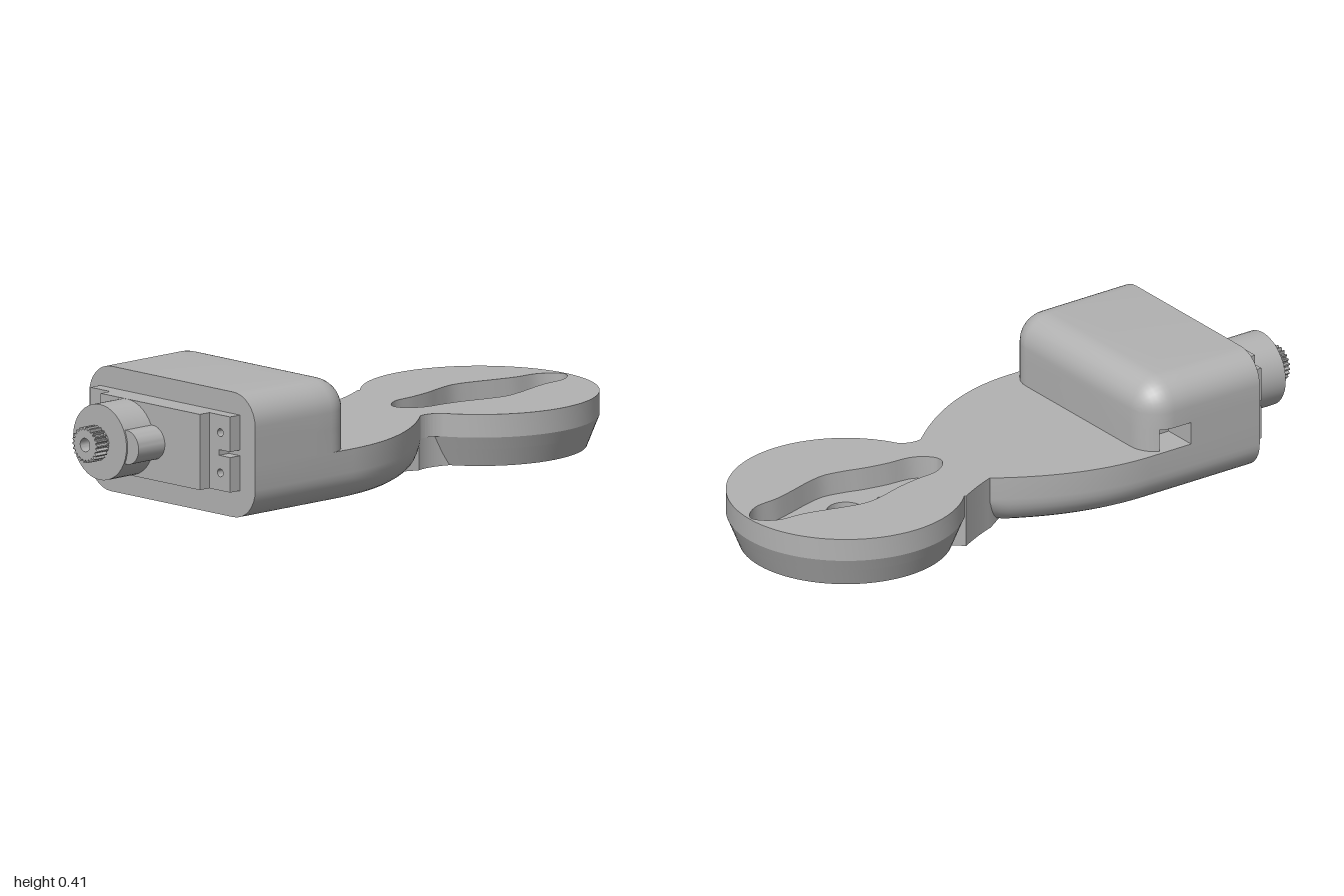
import * as THREE from 'three';
import { toCreasedNormals } from 'three/addons/utils/BufferGeometryUtils.js';

const grey = new THREE.MeshStandardMaterial({ color: 0xb2b2b2 });
grey.name = 'grey';

const CREASE = 0.5;
const DISC = { x: 0.62, r: 0.38 };
const AXIS_Y = 0.2125; // height of the motor axis

function part(name, geometry, parent) {
  const mesh = new THREE.Mesh(toCreasedNormals(geometry, CREASE), grey);
  mesh.name = name;
  parent.add(mesh);
  return mesh;
}

function circle(x, y, r, Type = THREE.Path) {
  const c = new Type();
  c.absarc(x, y, r, 0, Math.PI * 2, false);
  return c;
}

// Extrude a plan shape (x, z) between two heights
function slab(shape, y0, y1) {
  return new THREE.ExtrudeGeometry(shape, { depth: y1 - y0, bevelEnabled: false, curveSegments: 40 })
    .rotateX(Math.PI / 2).translate(0, y1, 0);
}

// Extrude an end-on shape (z, y) between two x positions
function slabX(shape, x0, x1) {
  return new THREE.ExtrudeGeometry(shape, { depth: x1 - x0, bevelEnabled: false, curveSegments: 12 })
    .rotateY(-Math.PI / 2).translate(x1, 0, 0);
}

function cylinderX(r, x0, x1, y, z) {
  return new THREE.CylinderGeometry(r, r, x1 - x0, 40).rotateZ(Math.PI / 2).translate((x0 + x1) / 2, y, z);
}

function box(x0, x1, y0, y1, z0, z1) {
  return new THREE.BoxGeometry(x1 - x0, y1 - y0, z1 - z0).translate((x0 + x1) / 2, (y0 + y1) / 2, (z0 + z1) / 2);
}

// Skin closed [y, z] sections along x, with both ends capped
function loft(sections, skip = () => false) {
  const out = [];
  const rings = sections.map(s => s.points.map(([y, z]) => [s.x, y, z]));
  const n = rings[0].length;
  for (let i = 0; i < rings.length - 1; i++) {
    for (let j = 0; j < n; j++) {
      if (skip(i, j)) continue;
      const k = (j + 1) % n;
      const a = rings[i][j], b = rings[i + 1][j], c = rings[i + 1][k], d = rings[i][k];
      out.push(...a, ...d, ...c, ...a, ...c, ...b);
    }
  }
  for (const [ring, atEnd] of [[rings[0], false], [rings[rings.length - 1], true]]) {
    const mid = [0, 1, 2].map(k => ring.reduce((sum, p) => sum + p[k], 0) / n);
    ring.forEach((p, j) => {
      const q = ring[(j + 1) % n];
      out.push(...mid, ...(atEnd ? p : q), ...(atEnd ? q : p));
    });
  }
  const g = new THREE.BufferGeometry();
  g.setAttribute('position', new THREE.Float32BufferAttribute(out, 3));
  g.computeVertexNormals();
  return g;
}

// Tapering arm with its lower edges and its end rounded
function armGeometry() {
  const r = 0.1, xs = [-0.73, -0.3];
  for (let k = 1; k <= 12; k++) xs.push(-0.3 + 0.43 * k / 12);
  for (let k = 1; k <= 8; k++) xs.push(0.13 + 0.0995 * Math.sin(k / 8 * Math.PI / 2));
  return loft(xs.map(x => {
    const t = Math.max(0, (x + 0.3) / 0.5);
    const zFront = 0.38 - 0.215 * t * t, zBack = 0.38 - 0.17 * t * t;
    const drop = Math.sqrt(r * r - Math.max(0, x - 0.13) ** 2);
    const front = [[0.175, zFront]], back = [[0.175, -zBack]];
    for (let k = 0; k <= 8; k++) {
      const a = k / 8 * Math.PI / 2;
      const y = r - drop * Math.sin(a), inset = r * (1 - Math.cos(a));
      front.push([y, zFront - inset]);
      back.push([y, -zBack + inset]);
    }
    return { x, points: [...front, ...back.reverse()] };
  }));
}

// Motor housing with rounded top and far corners, open at the cable notch
function housingGeometry() {
  const r = 0.1, stations = [[-0.73, 0], [-0.46, 0]];
  for (let k = 0; k <= 9; k++) {
    const a = k / 9 * Math.PI / 2;
    stations.push([-0.395 + r * Math.sin(a), r * (1 - Math.cos(a))]);
  }
  return loft(stations.map(([x, inset]) => {
    const R = r - inset, w = 0.38 - inset;
    const side = [[0.175, w], [0.25, w]];
    for (let k = 0; k <= 8; k++) {
      const a = k / 8 * Math.PI / 2;
      side.push([0.305 + R * Math.sin(a), w - R * (1 - Math.cos(a))]);
    }
    return { x, points: [...side.map(([y, z]) => [y, -z]), ...side.reverse()] };
  }), (i, j) => j === 0 && i >= 1 && i <= 4);
}

// Inward-facing walls of the cable notch
function notchGeometry() {
  const g = box(-0.46, -0.345, 0.175, 0.25, -0.38, -0.26).toNonIndexed();
  const p = g.attributes.position;
  for (let i = 0; i < p.count; i++) {
    if (p.getX(i) > -0.4 && p.getZ(i) < -0.37) p.setZ(i, -0.3666);
  }
  for (let i = 0; i < p.count; i += 3) {
    const b = new THREE.Vector3().fromBufferAttribute(p, i + 1);
    const c = new THREE.Vector3().fromBufferAttribute(p, i + 2);
    p.setXYZ(i + 1, c.x, c.y, c.z);
    p.setXYZ(i + 2, b.x, b.y, b.z);
  }
  g.computeVertexNormals();
  return g;
}

// One layer of the disc, its rim narrowed below y = 0.1
function discLayer(holes, y0, y1) {
  const shape = circle(DISC.x, 0, DISC.r, THREE.Shape);
  shape.holes.push(...holes);
  const g = slab(shape, y0, y1), p = g.attributes.position;
  for (let i = 0; i < p.count; i++) {
    const dx = p.getX(i) - DISC.x, z = p.getZ(i);
    if (Math.hypot(dx, z) < 0.379) continue;
    const s = Math.min(DISC.r, 0.34 + 0.4 * p.getY(i)) / DISC.r;
    p.setX(i, DISC.x + dx * s);
    p.setZ(i, z * s);
  }
  g.computeVertexNormals();
  return g;
}

// Wavy pocket for the motor horn
function hornPath() {
  const half = [[0.26, 0.03], [0.31, 0.065], [0.4, 0.075], [0.48, 0.09], [0.55, 0.11], [0.62, 0.122],
    [0.69, 0.11], [0.76, 0.09], [0.84, 0.07], [0.93, 0.06], [0.98, 0.025]];
  const loop = [[0.248, 0], ...half, [0.992, 0], ...half.slice().reverse().map(([x, z]) => [x, -z])];
  const curve = new THREE.CatmullRomCurve3(loop.map(([x, z]) => new THREE.Vector3(x, z, 0)), true);
  return new THREE.Path(curve.getPoints(90).slice(0, -1).map(v => new THREE.Vector2(v.x, v.y)));
}

function slotPath() {
  const p = new THREE.Path();
  p.absarc(DISC.x + 0.13, 0, 0.06, -Math.PI / 2, Math.PI / 2, false);
  p.absarc(DISC.x - 0.13, 0, 0.06, Math.PI / 2, Math.PI * 1.5, false);
  p.closePath();
  return p;
}

// Neck between arm and disc, hollowed to follow the disc rim
function neckShape(r) {
  const s = new THREE.Shape();
  s.moveTo(0.1, -0.14);
  s.lineTo(0.2, -0.205);
  s.quadraticCurveTo(0.26, -0.225, 0.345, -0.27);
  const a0 = Math.PI + 0.78, a1 = Math.PI - 0.56;
  for (let k = 0; k <= 16; k++) {
    const a = a0 + (a1 - a0) * k / 16;
    s.lineTo(DISC.x + r * Math.cos(a), r * Math.sin(a));
  }
  s.quadraticCurveTo(0.26, 0.14, 0.2, 0.16);
  s.lineTo(0.1, 0.12);
  s.closePath();
  return s;
}

// Mounting flange, slit at both ends, with two screw holes on each side
function flangeShape() {
  const z0 = -0.33, z1 = 0.31, y0 = 0.09, y1 = 0.335, h = 0.009, d = 0.05;
  const s = new THREE.Shape([[z0, y0], [z1, y0], [z1, AXIS_Y - h], [z1 - d, AXIS_Y - h], [z1 - d, AXIS_Y + h],
    [z1, AXIS_Y + h], [z1, y1], [z0, y1], [z0, AXIS_Y + h], [z0 + d, AXIS_Y + h], [z0 + d, AXIS_Y - h],
    [z0, AXIS_Y - h]].map(p => new THREE.Vector2(...p)));
  for (const z of [z0 + 0.045, z1 - 0.045])
    for (const dy of [-0.065, 0.065]) s.holes.push(circle(z, AXIS_Y + dy, 0.013));
  return s;
}

function splineShape(z) {
  const pts = [], teeth = 22;
  for (let k = 0; k < teeth * 4; k++) {
    const a = k / (teeth * 4) * Math.PI * 2, r = k % 4 < 2 ? 0.058 : 0.049;
    pts.push(new THREE.Vector2(z + r * Math.cos(a), AXIS_Y + r * Math.sin(a)));
  }
  const s = new THREE.Shape(pts);
  s.holes.push(circle(z, AXIS_Y, 0.022));
  return s;
}

export function createModel() {
  const model = new THREE.Group();
  model.name = 'servoArm';

  part('arm', armGeometry(), model);
  part('neckLower', slab(neckShape(0.33), 0, 0.1), model);
  part('neckUpper', slab(neckShape(0.375), 0.1, 0.175), model);

  const disc = new THREE.Group();
  disc.name = 'disc';
  model.add(disc);
  const bores = [circle(DISC.x, 0, 0.06), circle(DISC.x - 0.143, 0, 0.016), circle(DISC.x + 0.143, 0, 0.016)];
  part('discBottom', discLayer([slotPath()], 0, 0.06), disc);
  part('discMiddle', discLayer(bores, 0.06, 0.1), disc);
  part('discTop', discLayer([hornPath()], 0.1, 0.175), disc);

  part('housing', housingGeometry(), model);
  part('cableNotch', notchGeometry(), model);

  const motor = new THREE.Group();
  motor.name = 'motor';
  model.add(motor);
  const shaftZ = -0.118;
  part('motorFlange', slabX(flangeShape(), -0.773, -0.73), motor);
  part('motorBody', box(-0.815, -0.74, 0.09, 0.335, -0.24, 0.215), motor);
  part('gearboxCap', cylinderX(0.1225, -0.935, -0.81, AXIS_Y, shaftZ), motor);
  part('smallGearCap', cylinderX(0.055, -0.93, -0.81, AXIS_Y, 0), motor);
  part('shaftCollar', cylinderX(0.042, -0.955, -0.93, AXIS_Y, shaftZ), motor);
  part('splinedShaft', slabX(splineShape(shaftZ), -1, -0.95), motor);

  return model;
}
